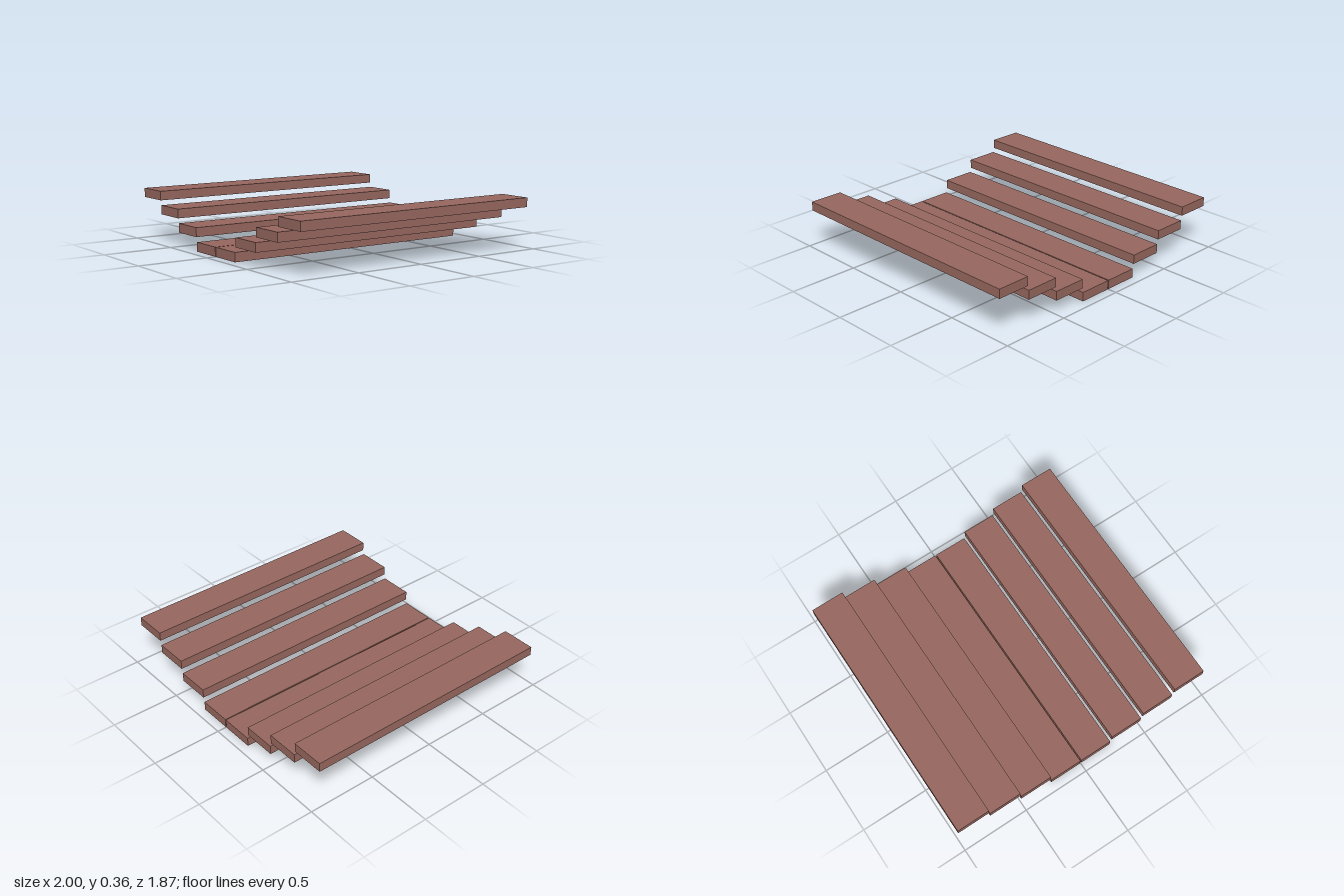
import * as THREE from 'three';

export function createModel() {
  const model = new THREE.Group();
  model.name = 'steppedPlanks';

  const width = 0.243, thickness = 0.065, length = 1.865;
  const pitch = 0.251; // plank width plus the narrow gap
  const rise = 0.0985; // height gained by each step outwards

  const wood = new THREE.MeshStandardMaterial({ color: 0x96675e });
  const plankGeometry = new THREE.BoxGeometry(width, thickness, length);

  // Four pairs of planks climbing outwards from the middle
  for (let step = 0; step < 4; step++) {
    for (const side of [-1, 1]) {
      const plank = new THREE.Mesh(plankGeometry, wood);
      plank.name = `${side > 0 ? 'left' : 'right'}Plank${step + 1}`;
      plank.position.set(side * (step + 0.5) * pitch, thickness / 2 + step * rise, 0);
      model.add(plank);
    }
  }
  return model;
}
